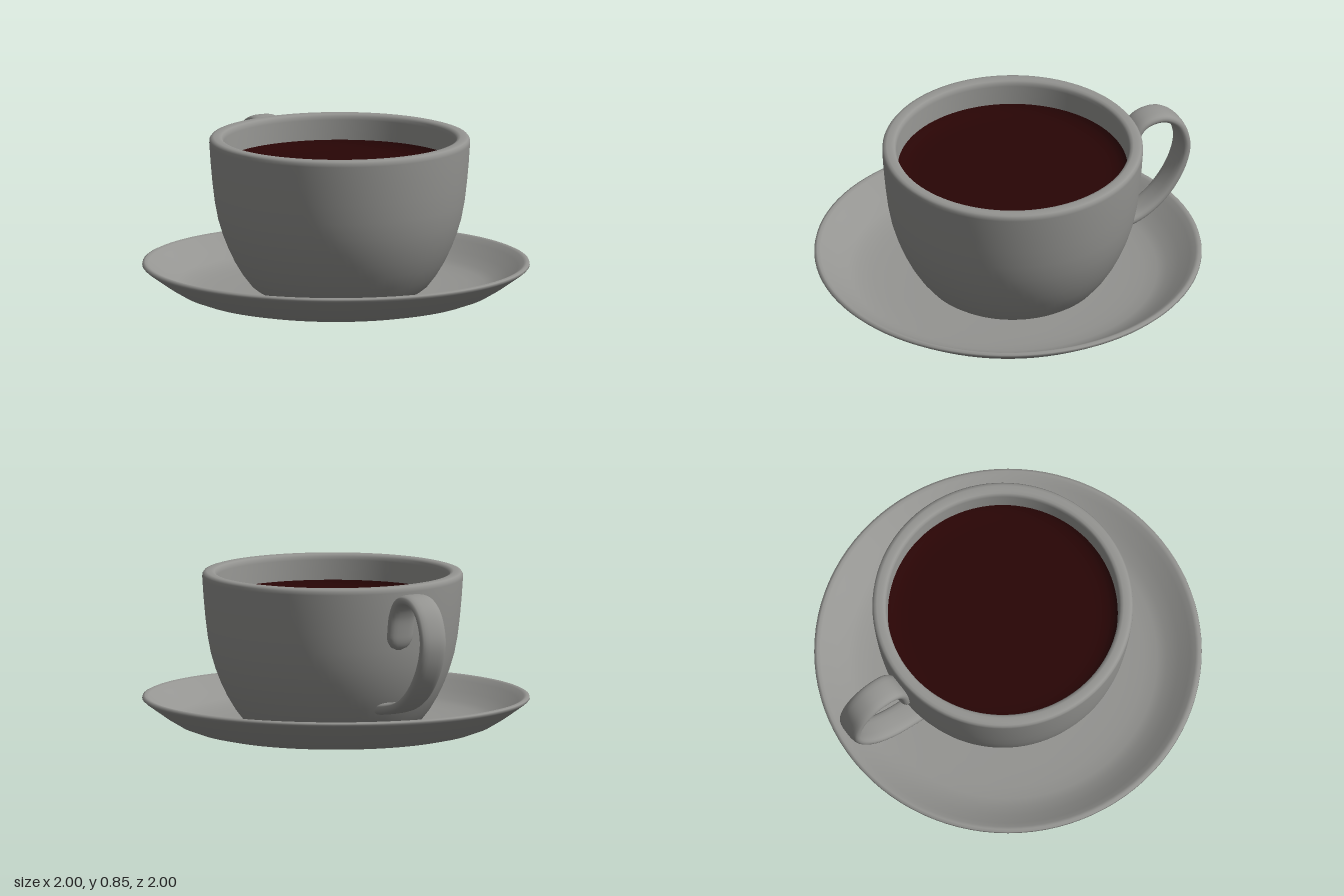
import * as THREE from 'three';

const v2 = (p) => p.map(([x, y]) => new THREE.Vector2(x, y));

// Smooth revolved body; profile runs bottom centre -> outside -> rim -> inside
function lathe(name, profile, material) {
  const mesh = new THREE.Mesh(new THREE.LatheGeometry(v2(profile), 96), material);
  mesh.name = name;
  return mesh;
}

// Rounded strap swept along a planar path, [radius, height] points
function strap(path, width, thickness, steps = 90, sides = 20) {
  const curve = new THREE.SplineCurve(v2(path));
  const pos = [], index = [];
  const round = (c) => Math.sign(c) * Math.pow(Math.abs(c), 0.75);
  for (let i = 0; i <= steps; i++) {
    const u = i / steps;
    const p = curve.getPointAt(u), t = curve.getTangentAt(u);
    // Rounded tongue at the upper joint, slight thickening at both joints
    const tongue = Math.sqrt(1 - Math.pow(1 - Math.min(1, u / 0.06 + 0.02), 2));
    const flare = 1 + 0.35 * Math.pow(1 - u, 10) + 0.2 * Math.pow(u, 8);
    for (let j = 0; j < sides; j++) {
      const a = (j / sides) * Math.PI * 2;
      const n = round(Math.cos(a)) * thickness * 0.5 * flare * tongue;
      const b = round(Math.sin(a)) * width * 0.5 * tongue;
      pos.push(p.x - t.y * n, p.y + t.x * n, b);
      if (i === steps) continue;
      const k = i * sides + j, l = i * sides + (j + 1) % sides;
      index.push(k, l, k + sides, l, l + sides, k + sides);
    }
  }
  // End caps
  const last = steps * sides;
  for (let j = 1; j < sides - 1; j++) {
    index.push(0, j + 1, j, last, last + j, last + j + 1);
  }
  const g = new THREE.BufferGeometry();
  g.setAttribute('position', new THREE.Float32BufferAttribute(pos, 3));
  g.setIndex(index);
  g.computeVertexNormals();
  return g;
}

export function createModel() {
  const ceramic = new THREE.MeshStandardMaterial({ color: 0x949491 });
  ceramic.name = 'grey ceramic';
  const tea = new THREE.MeshStandardMaterial({ color: 0x280505 });
  tea.name = 'dark red tea';

  const model = new THREE.Group();
  model.name = 'cupAndSaucer';

  // Saucer
  model.add(lathe('saucer', [
    [0, 0], [0.4, 0], [0.6, 0.001], [0.66, 0.006], [0.74, 0.024], [0.81, 0.05],
    [0.88, 0.092], [0.94, 0.134], [0.99, 0.17], [1, 0.18], [0.998, 0.19], [0.985, 0.196],
    [0.968, 0.19], [0.94, 0.168], [0.88, 0.124], [0.82, 0.088], [0.77, 0.071],
    [0.7, 0.061], [0.6, 0.054], [0.4, 0.048], [0, 0.048],
  ], ceramic));

  // Cup, set slightly off the saucer's centre
  const cup = new THREE.Group();
  cup.name = 'cup';
  cup.position.x = 0.031;
  model.add(cup);

  cup.add(lathe('bowl', [
    [0, 0.03], [0.36, 0.03], [0.42, 0.043], [0.457, 0.072], [0.502, 0.13], [0.544, 0.2],
    [0.577, 0.27], [0.604, 0.34], [0.628, 0.42], [0.645, 0.51], [0.657, 0.61],
    [0.666, 0.71], [0.673, 0.815], [0.672, 0.832], [0.664, 0.843], [0.65, 0.847],
    [0.625, 0.847], [0.611, 0.843], [0.603, 0.832], [0.6, 0.815], [0.594, 0.72],
    [0.585, 0.6], [0.56, 0.42], [0.48, 0.22], [0.38, 0.11], [0, 0.1],
  ], ceramic));

  // Drink surface, turned up at the wall
  cup.add(lathe('drink', [
    [0.596, 0.716], [0.586, 0.702], [0.572, 0.69], [0.55, 0.678], [0.52, 0.671],
    [0.47, 0.667], [0, 0.666],
  ], tea));

  // Handle, swung towards the back left
  const handle = new THREE.Mesh(strap([
    [0.645, 0.515], [0.66, 0.61], [0.68, 0.7], [0.722, 0.768], [0.79, 0.794],
    [0.87, 0.782], [0.942, 0.72], [0.979, 0.61], [0.965, 0.505], [0.914, 0.4],
    [0.835, 0.307], [0.735, 0.241], [0.63, 0.21], [0.5, 0.19],
  ], 0.15, 0.054), ceramic);
  handle.name = 'handle';
  handle.rotation.y = 1.159;
  cup.add(handle);

  return model;
}
